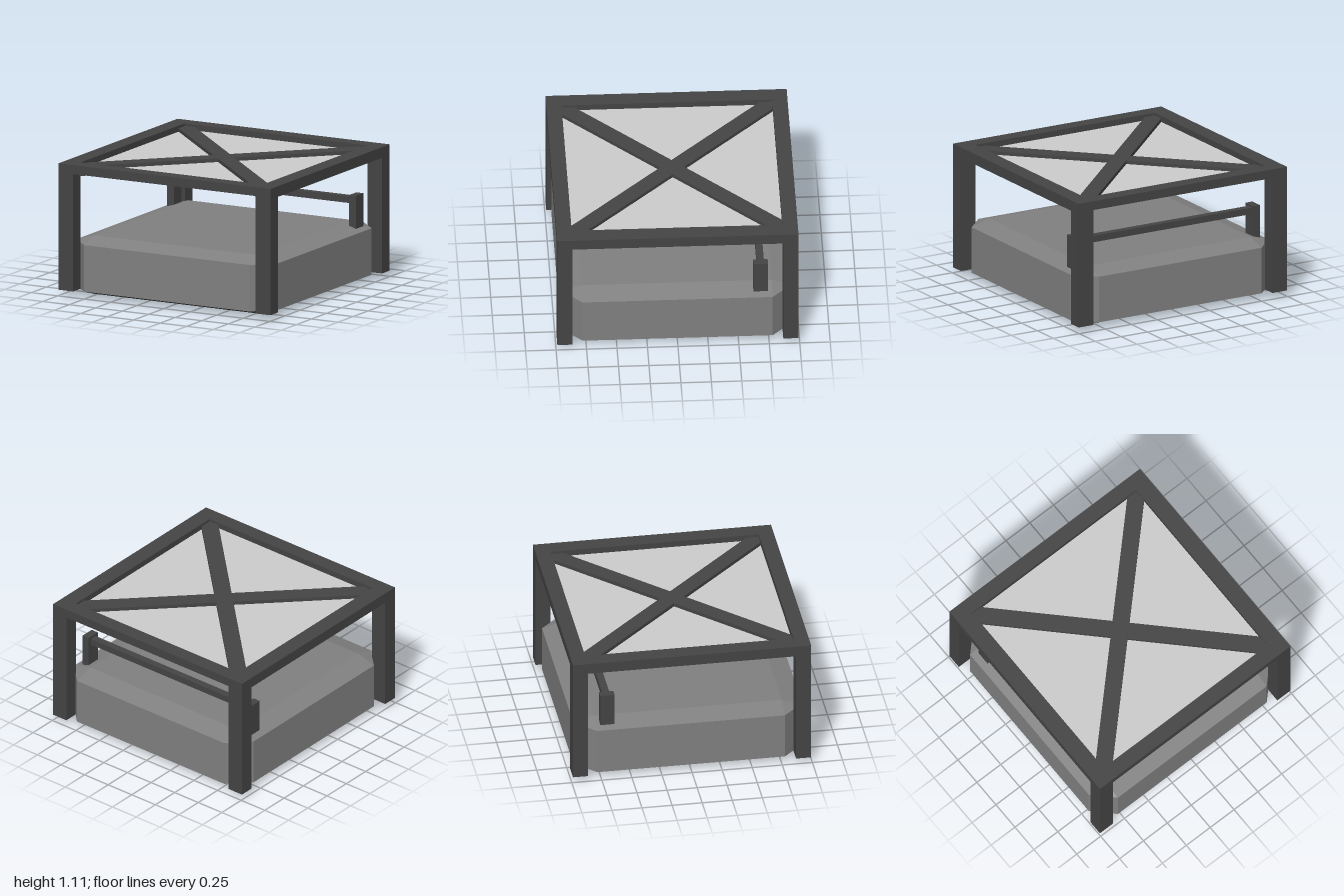
import * as THREE from 'three';
import { ConvexGeometry } from 'three/addons/geometries/ConvexGeometry.js';

const material = (color) => new THREE.MeshStandardMaterial({ color, flatShading: true });

export function createModel() {
  const group = new THREE.Group();
  const dark = material(0x444444);
  const grey = material(0x808080);
  const light = material(0xcccccc);

  const add = (name, geometry, mat) => {
    const mesh = new THREE.Mesh(geometry, mat);
    mesh.name = name;
    group.add(mesh);
    return mesh;
  };
  // Box given by its extents on each axis
  const box = (name, x0, x1, y0, y1, z0, z1, mat = dark) => {
    const mesh = add(name, new THREE.BoxGeometry(x1 - x0, y1 - y0, z1 - z0), mat);
    mesh.position.set((x0 + x1) / 2, (y0 + y1) / 2, (z0 + z1) / 2);
    return mesh;
  };

  // Cross-sections of the bevelled body: chamfered octagon and inset square
  const wide = 0.95, inset = 0.78;
  const corners = [[1, 1], [1, -1], [-1, -1], [-1, 1]];
  const square = (y) => corners.map(([sx, sz]) => new THREE.Vector3(sx * inset, y, sz * inset));
  const octagon = (y) => corners.flatMap(([sx, sz]) => [
    new THREE.Vector3(sx * wide, y, sz * inset),
    new THREE.Vector3(sx * inset, y, sz * wide),
  ]);
  add('body', new ConvexGeometry([...octagon(0.05), ...octagon(0.44), ...square(0.49)]), grey);
  add('base', new ConvexGeometry([...octagon(0.05), ...square(0)]), dark);

  // Corner posts
  for (const [sx, sz] of corners) {
    const post = box('cornerPost', 0.86, 1, 0.05, 1.035, 0.865, 0.99);
    post.position.x *= sx;
    post.position.z *= sz;
  }

  // Roof frame, panel and diagonal braces
  for (const s of [-1, 1]) {
    box('roofCrossBeam', -1, 1, 1.035, 1.11, 0.865, 0.99).position.z *= s;
    box('roofSideBeam', 0.86, 1, 1.02, 1.11, -0.865, 0.865).position.x *= s;
    box('roofBrace', -1.25, 1.25, 1.01, s > 0 ? 1.09 : 1.089, -0.07, 0.07).rotation.y = s * Math.PI / 4;
  }
  box('roofPanel', -0.87, 0.87, 1.045, 1.06, -0.87, 0.87, light);

  // Rear rail with its two brackets
  for (const s of [-1, 1]) {
    box('railBracket', 0.825, 0.89, 0.44, 0.735, -0.745, -0.625).position.x *= s;
  }
  box('rearRail', -0.83, 0.83, 0.66, 0.715, -0.715, -0.655);

  return group;
}
